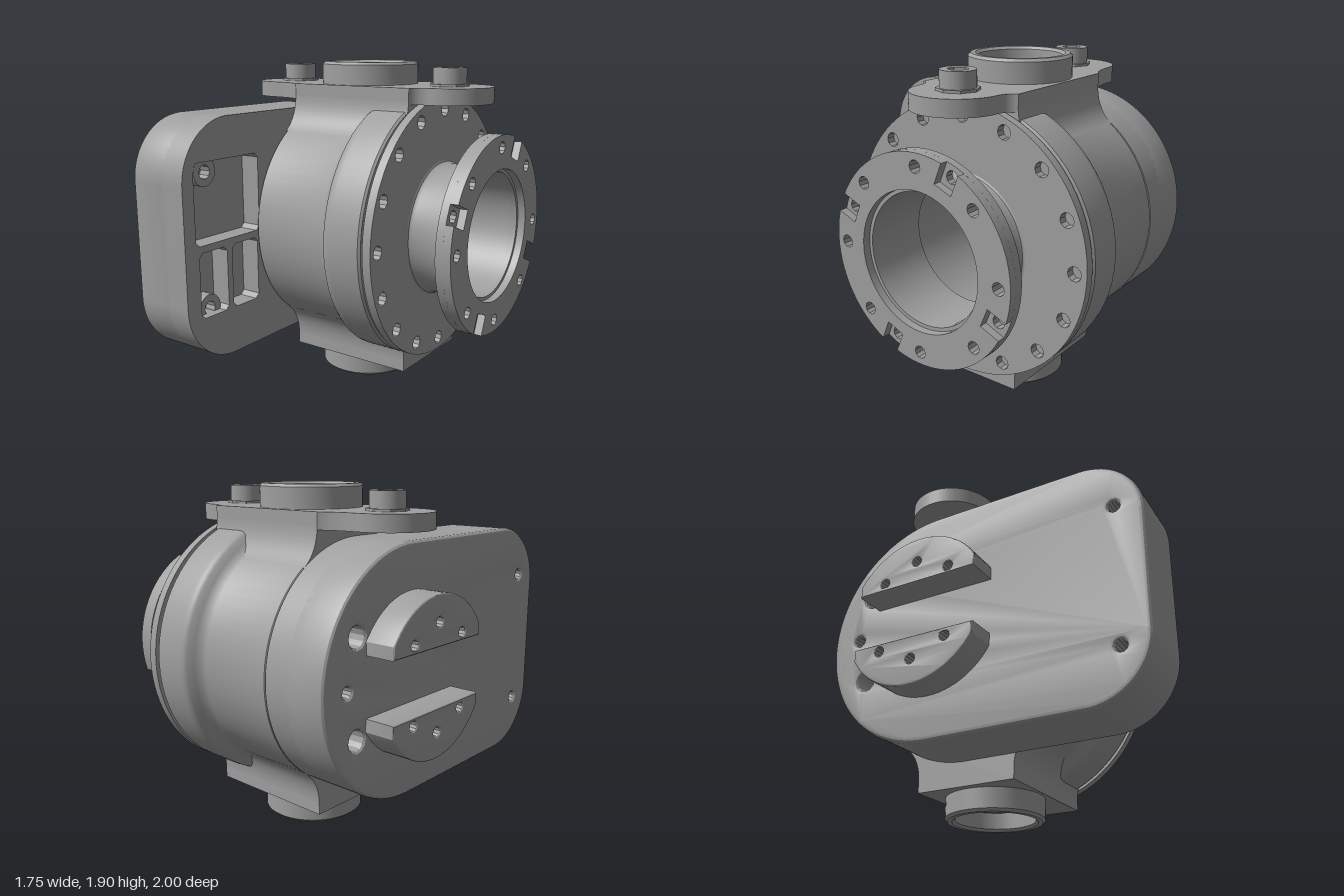
import * as THREE from 'three';
import { toCreasedNormals } from 'three/addons/utils/BufferGeometryUtils.js';

const steel = new THREE.MeshStandardMaterial({ color: 0xa0a0a0 });
steel.name = 'steelGrey';

const DEG = Math.PI / 180;
const polar = (r, deg) => new THREE.Vector2(r * Math.cos(deg * DEG), r * Math.sin(deg * DEG));

function add(parent, name, geometry) {
  const mesh = new THREE.Mesh(toCreasedNormals(geometry, 0.5), steel);
  mesh.name = name;
  parent.add(mesh);
  return mesh;
}

// polygonal hole of radius r around c
function hole(c, r, sides = 10) {
  const pts = [];
  for (let i = 0; i < sides; i++) pts.push(polar(r, (i * 360) / sides).add(c));
  return new THREE.Path(pts);
}

const circle = (r) => new THREE.Shape().absarc(0, 0, r, 0, Math.PI * 2);

// circle of n bolt holes on radius r
function boltCircle(shape, n, r, size, start = 0) {
  for (let i = 0; i < n; i++) shape.holes.push(hole(polar(r, start + (i * 360) / n), size));
}

// extrude a shape between two positions on local z
function slab(shape, z0, z1, bevel = 0) {
  const g = new THREE.ExtrudeGeometry(shape, {
    depth: z1 - z0 - 2 * bevel, curveSegments: 48, bevelEnabled: bevel > 0,
    bevelSize: bevel, bevelThickness: bevel, bevelOffset: -bevel, bevelSegments: 3,
  });
  return g.translate(0, 0, z0 + bevel);
}

const lathe = (pts, seg = 72) => new THREE.LatheGeometry(pts.map((p) => new THREE.Vector2(...p)), seg);
const latheAxial = (pts) => lathe(pts).rotateX(Math.PI / 2);

// side housing outline: round at the back, rounded corners at the front
function housingShape() {
  const R = 0.68, F = -1.24, c = 0.35;
  const s = new THREE.Shape();
  s.moveTo(0, -R);
  s.absarc(0, 0, R, -Math.PI / 2, Math.PI / 2);
  s.lineTo(F + c, R);
  s.absarc(F + c, R - c, c, Math.PI / 2, Math.PI);
  s.lineTo(F, -R + c);
  s.absarc(F + c, -R + c, c, Math.PI, Math.PI * 1.5);
  s.lineTo(0, -R);
  return s;
}

function pocket(x0, x1, y0, y1) {
  const r = 0.025;
  return new THREE.Path([
    [x0 + r, y0], [x1 - r, y0], [x1, y0 + r], [x1, y1 - r],
    [x1 - r, y1], [x0 + r, y1], [x0, y1 - r], [x0, y0 + r],
  ].map((p) => new THREE.Vector2(...p)));
}

// vertical port with its mounting block, pointing up from the axis
function port(name) {
  const g = new THREE.Group();
  g.name = name;
  const block = new THREE.Shape();
  block.moveTo(-0.33, -0.305).lineTo(0.45, -0.305).lineTo(0.45, 0.305).lineTo(-0.33, 0.305);
  block.holes.push(hole(new THREE.Vector2(0, 0), 0.2, 40));
  add(g, 'portBlock', slab(block, 0.55, 0.82).rotateX(-Math.PI / 2));
  add(g, 'portTube', lathe([
    [0.285, 0.8], [0.285, 0.935], [0.27, 0.95], [0.245, 0.95], [0.23, 0.935],
    [0.23, 0.84], [0.2, 0.83], [0.2, 0.8],
  ], 48));
  add(g, 'portFloor', new THREE.CylinderGeometry(0.21, 0.21, 0.02, 40).translate(0, 0.69, 0));
  // fillets between block and drum
  for (const s of [-1, 1]) {
    const f = new THREE.Shape();
    f.moveTo(s * 0.29, 0.75);
    f.lineTo(s * 0.305, 0.75);
    f.quadraticCurveTo(s * 0.31, 0.62, s * 0.4, 0.55);
    f.lineTo(s * 0.29, 0.55);
    add(g, 'blockFillet', slab(f, -0.33, 0.45).rotateY(Math.PI / 2));
  }
  return g;
}

export function createModel() {
  const model = new THREE.Group();
  model.name = 'valveHousing';
  const centre = new THREE.Group();
  centre.name = 'body';
  centre.position.set(0, 0.95, -0.24);
  model.add(centre);

  // parts turned around the horizontal axis: local z runs along world x
  const axial = new THREE.Group();
  axial.name = 'axialParts';
  axial.rotation.y = Math.PI / 2;
  centre.add(axial);

  add(axial, 'drum', latheAxial([
    [0, -0.34], [0.66, -0.34], [0.68, -0.32], [0.68, 0.13], [0.69, 0.155], [0.715, 0.18],
    [0.745, 0.2], [0.757, 0.22], [0.76, 0.25], [0.76, 0.43], [0.75, 0.443], [0.735, 0.443],
    [0.735, 0.462], [0.5, 0.462], [0.5, -0.28], [0.19, -0.28], [0.19, -0.32], [0, -0.32],
  ]));

  // bolted floor inside the bore
  const floor = circle(0.5);
  floor.holes.push(hole(new THREE.Vector2(0, 0), 0.19, 24));
  boltCircle(floor, 8, 0.29, 0.035);
  add(axial, 'boreFloor', slab(floor, -0.28, -0.22));

  // large flange
  const big = circle(0.76);
  big.holes.push(hole(new THREE.Vector2(0, 0), 0.36, 72));
  boltCircle(big, 16, 0.69, 0.04);
  add(axial, 'largeFlange', slab(big, 0.46, 0.51));

  add(axial, 'neck', latheAxial([
    [0.41, 0.505], [0.39, 0.515], [0.38, 0.535], [0.38, 0.7], [0.39, 0.73], [0.41, 0.745],
    [0.44, 0.75], [0.45, 0.76], [0.45, 0.785], [0.36, 0.785], [0.36, 0.46],
  ]));

  // small flange: plain back layer, notched front layer
  const back = circle(0.57);
  back.holes.push(hole(new THREE.Vector2(0, 0), 0.36, 72));
  boltCircle(back, 8, 0.5, 0.035);
  boltCircle(back, 4, 0.51, 0.035, 67.5);
  add(axial, 'smallFlangeBack', slab(back, 0.78, 0.825));

  const outline = [];
  const half = 0.055, cut = Math.asin(half / 0.57) / DEG;
  for (let k = 0; k < 4; k++) {
    const a = 67.5 + 90 * k;
    for (const side of [-half, half]) {
      outline.push(new THREE.Vector2(0.45, side).rotateAround(new THREE.Vector2(), a * DEG));
    }
    for (let i = 0; i <= 16; i++) outline.push(polar(0.57, a + cut + ((90 - 2 * cut) * i) / 16));
  }
  const front = new THREE.Shape(outline);
  front.holes.push(hole(new THREE.Vector2(0, 0), 0.38, 72));
  boltCircle(front, 8, 0.5, 0.035);
  add(axial, 'smallFlangeFront', slab(front, 0.825, 0.87));

  // side housing: back shell with bolt holes, front layer with pockets
  const shell = housingShape();
  for (const s of [-1, 1]) {
    shell.holes.push(hole(new THREE.Vector2(0.43, s * 0.26), 0.055, 12));
    shell.holes.push(hole(new THREE.Vector2(-1.08, s * 0.39), 0.03));
  }
  shell.holes.push(hole(new THREE.Vector2(0.5, 0), 0.03));
  add(axial, 'housingShell', slab(shell, -0.71, -0.45, 0.025));

  const rim = housingShape();
  rim.holes.push(pocket(-1.16, -0.66, 0, 0.45));
  rim.holes.push(pocket(-1.14, -0.93, -0.41, -0.04));
  rim.holes.push(pocket(-0.89, -0.68, -0.41, -0.04));
  add(axial, 'housingRim', slab(rim, -0.5, -0.33));

  for (const s of [-1, 1]) {
    const post = circle(0.08);
    post.holes.push(hole(new THREE.Vector2(0, 0), 0.04));
    add(axial, 'pocketPost', slab(post, -0.47, -0.38)).position.set(-1.03, s * 0.385, 0);

    // half-moon lugs on the outer side
    const lug = new THREE.Shape();
    const a = Math.acos(0.37 / 0.435);
    const pts = [new THREE.Vector2(-0.37, 0.16), new THREE.Vector2(0.37, 0.16)];
    for (let i = 0; i <= 24; i++) pts.push(polar(0.435, (a + ((Math.PI - 2 * a) * i) / 24) / DEG));
    lug.setFromPoints(pts.map((p) => new THREE.Vector2(p.x, p.y * s)));
    for (const t of [45, 90, 135]) lug.holes.push(hole(polar(0.29, t * s), 0.028));
    add(axial, 'halfMoonLug', slab(lug, -0.88, -0.69, 0.012));
  }

  // top and bottom ports
  centre.add(port('topPort'));
  const bottom = port('bottomPort');
  bottom.rotation.x = Math.PI;
  centre.add(bottom);

  // bracket plate with rounded ears
  const plate = new THREE.Shape();
  plate.moveTo(-0.33, -0.305);
  plate.lineTo(0.45, -0.305);
  plate.quadraticCurveTo(0.47, -0.25, 0.54, -0.245);
  plate.absarc(0.54, 0, 0.245, -Math.PI / 2, Math.PI / 2);
  plate.quadraticCurveTo(0.47, 0.25, 0.45, 0.305);
  plate.lineTo(-0.33, 0.305);
  plate.quadraticCurveTo(-0.4, 0.25, -0.54, 0.245);
  plate.absarc(-0.54, 0, 0.245, Math.PI / 2, Math.PI * 1.5);
  plate.quadraticCurveTo(-0.4, -0.25, -0.33, -0.305);
  plate.holes.push(hole(new THREE.Vector2(0, 0), 0.2, 40));
  add(centre, 'bracketPlate', slab(plate, 0.73, 0.821).rotateX(-Math.PI / 2));

  // socket-head bolts
  for (const x of [-0.535, 0.535]) {
    const bolt = new THREE.Group();
    bolt.name = 'bracketBolt';
    bolt.position.set(x, 0.82, 0);
    centre.add(bolt);
    const head = circle(0.095);
    head.holes.push(hole(new THREE.Vector2(0, 0), 0.055, 6));
    add(bolt, 'boltHead', slab(head, 0.01, 0.105).rotateX(-Math.PI / 2));
    add(bolt, 'washer', new THREE.CylinderGeometry(0.115, 0.115, 0.02, 8).translate(0, 0.005, 0));
  }
  return model;
}
